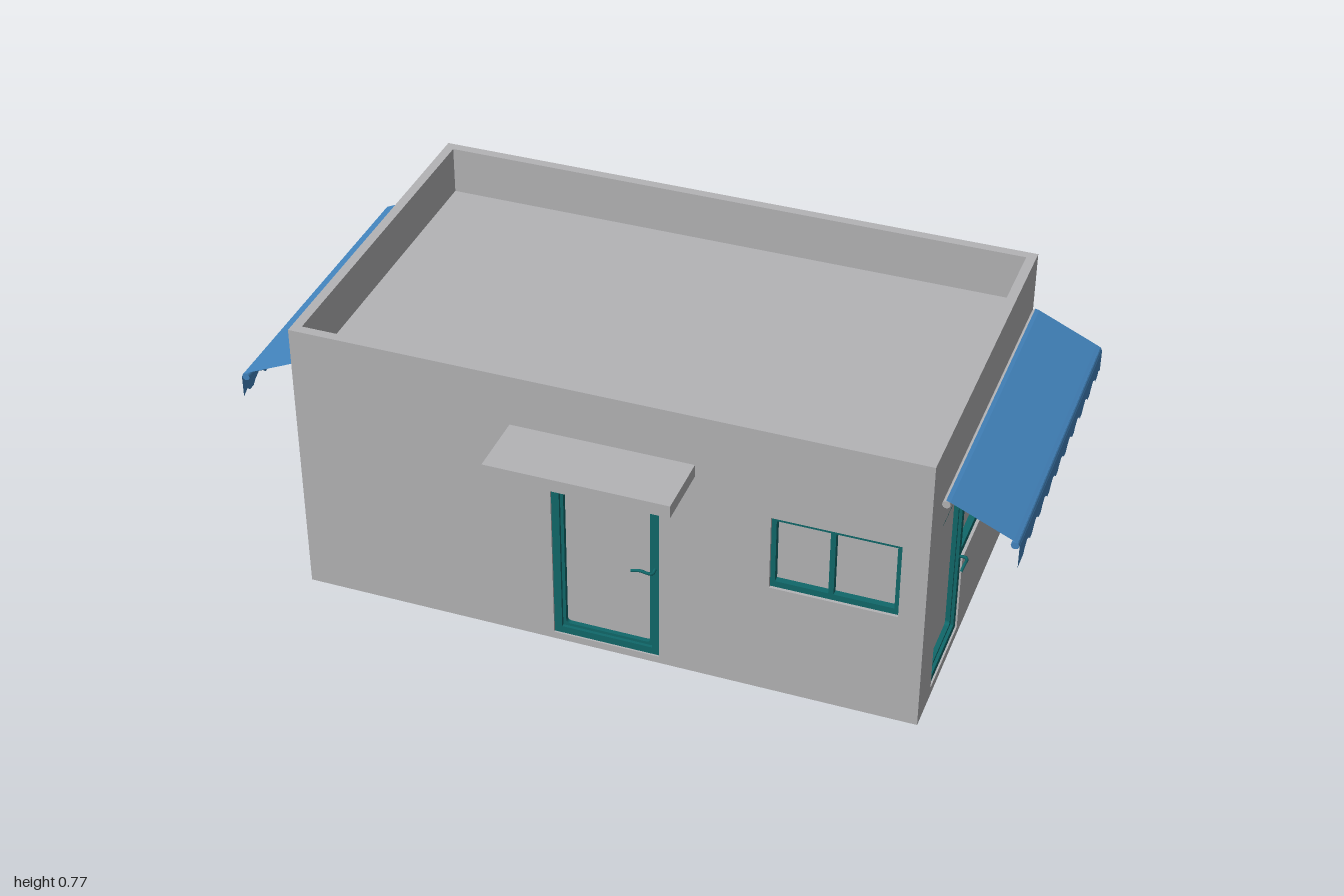
import * as THREE from 'three';

const mat = (name, color, side = THREE.FrontSide) => {
  const m = new THREE.MeshStandardMaterial({ color, side });
  m.name = name;
  return m;
};

// Plan limits of the building, wall skin thickness, roof deck and parapet heights
const X0 = -0.815, X1 = 0.805, Z0 = -0.565, Z1 = 0.395;
const SKIN = 0.025, DECK = 0.645, TOP = 0.775;

export function createModel() {
  const root = new THREE.Group();
  root.name = 'shopBuilding';
  const wall = mat('wallGrey', 0xb4b4b6);
  const teal = mat('frameTeal', 0x10686a);
  const blue = mat('awningBlue', 0x4385bf, THREE.DoubleSide);

  const add = (parent, name, geo, material) => {
    const m = new THREE.Mesh(geo, material);
    m.name = name;
    parent.add(m);
    return m;
  };
  // Box given by its lower and upper corners
  const box = (parent, name, a, b, material) => {
    const m = add(parent, name, new THREE.BoxGeometry(b[0] - a[0], b[1] - a[1], b[2] - a[2]), material);
    m.position.set((a[0] + b[0]) / 2, (a[1] + b[1]) / 2, (a[2] + b[2]) / 2);
    return m;
  };
  // Rectangle outline with optionally rounded corners
  const rect = (P, u0, v0, u1, v1, r = 0) => {
    const p = new P();
    if (!r) return p.setFromPoints([[u0, v0], [u1, v0], [u1, v1], [u0, v1], [u0, v0]].map(q => new THREE.Vector2(...q)));
    p.absarc(u1 - r, v0 + r, r, -Math.PI / 2, 0);
    p.absarc(u1 - r, v1 - r, r, 0, Math.PI / 2);
    p.absarc(u0 + r, v1 - r, r, Math.PI / 2, Math.PI);
    p.absarc(u0 + r, v0 + r, r, Math.PI, Math.PI * 1.5);
    p.closePath();
    return p;
  };
  const slab = (parent, name, shape, holes, depth, material) => {
    shape.holes.push(...holes);
    return add(parent, name, new THREE.ExtrudeGeometry(shape, { depth, bevelEnabled: false, curveSegments: 5 }), material);
  };

  // Solid core, whose faces also fill the door and window openings
  box(root, 'buildingCore', [X0, 0, Z0], [X1 - SKIN, DECK, Z1 - SKIN], wall);
  box(root, 'backParapet', [X0, DECK, Z0], [X1 - SKIN, TOP, Z0 + SKIN], wall);
  box(root, 'sideParapet', [X0, DECK, Z0 + SKIN], [X0 + SKIN, TOP, Z1 - SKIN], wall);

  // Facades: local x runs along the wall, local z points outward
  const front = new THREE.Group();
  front.name = 'frontFacade';
  front.position.z = Z1 - SKIN;
  const side = new THREE.Group();
  side.name = 'sideFacade';
  side.position.x = X1 - SKIN;
  side.rotation.y = Math.PI / 2;
  root.add(front, side);

  slab(front, 'frontWall', rect(THREE.Shape, X0, 0, X1, TOP), [
    rect(THREE.Path, -0.14, 0.02, 0.14, 0.535),
    rect(THREE.Path, 0.42, 0.32, 0.74, 0.53),
  ], SKIN, wall);
  const opening = new THREE.Path([
    [-0.28, 0.025], [-0.035, 0.025], [-0.035, 0.245], [0.47, 0.245], [0.47, 0.525], [-0.28, 0.525],
  ].map(q => new THREE.Vector2(...q)));
  opening.closePath();
  slab(side, 'sideWall', rect(THREE.Shape, SKIN - Z1, 0, -Z0, TOP), [opening], SKIN, wall);

  // Door: flat frame, inner rounded seal and a curved lever handle
  const door = (parent, u0, v0, u1, v1, handleY) => {
    const w = 0.02, s = 0.008;
    slab(parent, 'doorFrame', rect(THREE.Shape, u0, v0, u1, v1),
      [rect(THREE.Path, u0 + w, v0 + w, u1 - w, v1 - w)], 0.02, teal);
    slab(parent, 'doorSeal', rect(THREE.Shape, u0 + w, v0 + w, u1 - w, v1 - w),
      [rect(THREE.Path, u0 + w + s, v0 + w + s, u1 - w - s, v1 - w - s, 0.01)], 0.012, teal);
    const h = u1 - 0.012;
    const path = new THREE.CatmullRomCurve3([
      [h, 0, 0.018], [h, 0, 0.036], [h - 0.01, 0.001, 0.041], [h - 0.03, 0.004, 0.041], [h - 0.055, -0.004, 0.038],
    ].map(q => new THREE.Vector3(q[0], q[1] + handleY, q[2])));
    add(parent, 'doorHandle', new THREE.TubeGeometry(path, 16, 0.004, 8), teal);
  };
  door(front, -0.14, 0.02, 0.14, 0.535, 0.29);
  door(side, -0.28, 0.025, -0.035, 0.525, 0.26);

  // Window: one frame with a hole for each pane
  const windowFrame = (parent, name, outer, panes, v0, v1) => slab(parent, name, rect(THREE.Shape, ...outer),
    panes.map(([a, b]) => rect(THREE.Path, a, v0, b, v1)), 0.017, teal);
  windowFrame(front, 'frontWindow', [0.42, 0.32, 0.74, 0.53], [[0.432, 0.565], [0.578, 0.728]], 0.337, 0.518);
  windowFrame(side, 'sideWindow', [-0.035, 0.245, 0.47, 0.525],
    [[-0.02, 0.125], [0.15, 0.288], [0.312, 0.452]], 0.265, 0.5);

  // Canopy over the front door
  box(root, 'doorCanopy', [-0.24, 0.602, Z1], [0.23, 0.636, 0.565], wall);

  // Awning sheet, scalloped valance and two rods; the other side is turned half round
  const L = 0.855, midZ = -0.1025;
  const profile = [[0.818, 0.636], [0.828, 0.633], [0.983, 0.563], [0.993, 0.558], [0.998, 0.549]];
  const valance = new THREE.Shape();
  valance.moveTo(-L / 2, 0.549);
  const N = 10, drop = [0.51, 0.499, 0.488, 0.488, 0.499], at = [0, 0.25, 0.38, 0.62, 0.75];
  for (let i = 0; i < N; i++) drop.forEach((y, k) => valance.lineTo(-L / 2 + L * (i + at[k]) / N, i === 0 && k < 2 ? 0.488 : y));
  valance.lineTo(L / 2, 0.488);
  valance.lineTo(L / 2, 0.549);
  valance.closePath();

  for (const s of [1, -1]) {
    const awning = new THREE.Group();
    awning.name = s > 0 ? 'leftAwning' : 'rightAwning';
    awning.position.z = midZ;
    awning.rotation.y = s > 0 ? 0 : Math.PI;
    root.add(awning);

    let sheet = new THREE.PlaneGeometry(L, 1, 1, profile.length - 1);
    const pos = sheet.attributes.position;
    for (let i = 0; i < pos.count; i++) {
      const [x, y] = profile[Math.floor(i / 2)];
      pos.setXYZ(i, x, y, -pos.getX(i));
    }
    sheet = sheet.toNonIndexed();
    sheet.computeVertexNormals();
    add(awning, 'awningSheet', sheet, blue);

    const flap = add(awning, 'awningValance', new THREE.ShapeGeometry(valance), blue);
    flap.rotation.y = Math.PI / 2;
    flap.position.x = 0.998;

    const rod = (name, x, y, material) => {
      const m = add(awning, name, new THREE.CylinderGeometry(0.01, 0.01, L, 16), material);
      m.rotation.x = Math.PI / 2;
      m.position.set(x, y, 0);
    };
    rod('wallRod', 0.819, 0.624, wall);
    rod('frontRod', 0.987, 0.55, blue);
  }
  return root;
}
